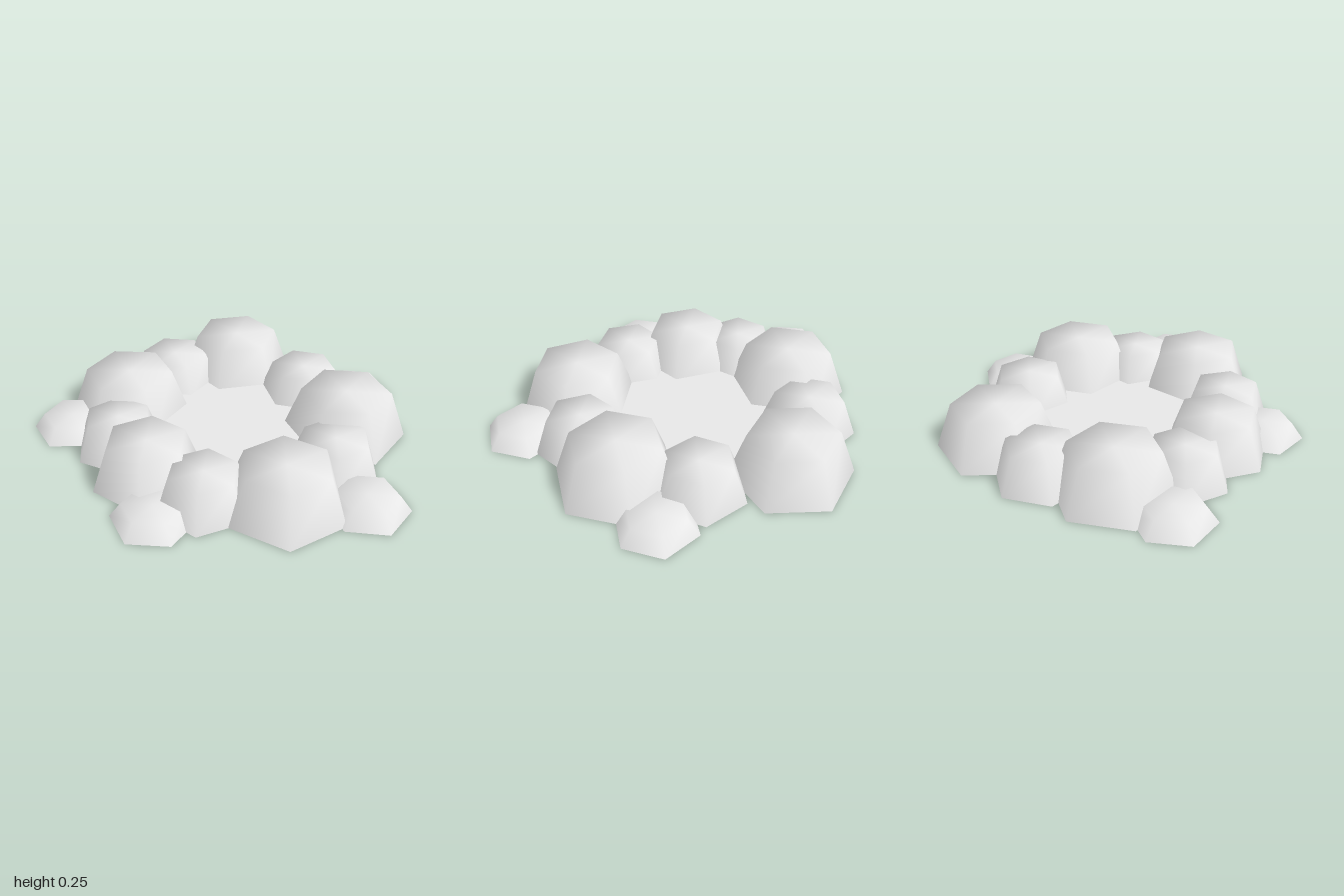
import * as THREE from 'three';

const SIDES = 6;
const TAPER = 0.72;

// Six-sided tapered stone, smooth over walls and top, with a flat underside
function stoneGeometry(radius, height, degrees) {
  const position = [], index = [];
  const ring = (r, y) => {
    for (let i = 0; i < SIDES; i++) {
      const a = THREE.MathUtils.degToRad(degrees) + (i / SIDES) * Math.PI * 2;
      position.push(Math.cos(a) * r, y, Math.sin(a) * r);
    }
  };
  ring(radius, 0);
  ring(radius * TAPER, height);
  ring(radius, 0); // separate corners keep the underside edge sharp
  position.push(0, height, 0, 0, 0, 0);
  const top = 3 * SIDES, under = top + 1;
  for (let i = 0; i < SIDES; i++) {
    const j = (i + 1) % SIDES;
    index.push(i, SIDES + i, j, j, SIDES + i, SIDES + j); // wall
    index.push(top, SIDES + j, SIDES + i);
    index.push(under, 2 * SIDES + i, 2 * SIDES + j);
  }
  const geometry = new THREE.BufferGeometry();
  geometry.setAttribute('position', new THREE.Float32BufferAttribute(position, 3));
  geometry.setIndex(index);
  geometry.computeVertexNormals();
  return geometry;
}

export function createModel() {
  const group = new THREE.Group();
  const stone = new THREE.MeshStandardMaterial({ color: 0xe8e8e8, side: THREE.DoubleSide });
  stone.name = 'paleStone';

  // x, z, radius, height, angle of first corner in degrees
  const stones = {
    largeStone: [
      [-0.065, -0.63, 0.316, 0.245, -83],
      [0.62, -0.135, 0.324, 0.25, -6],
      [0.41, 0.525, 0.314, 0.24, 77],
      [-0.545, -0.1, 0.32, 0.245, -9],
      [-0.285, 0.455, 0.285, 0.22, 22],
    ],
    mediumStone: [
      [0.03, 0.59, 0.243, 0.19, 85],
      [-0.495, 0.25, 0.237, 0.19, 132],
      [0.605, 0.2, 0.24, 0.19, 20],
      [0.36, -0.44, 0.245, 0.19, -58],
      [-0.381, -0.428, 0.25, 0.19, 174],
    ],
    smallStone: [
      [0.655, -0.493, 0.21, 0.08, -63],
      [-0.796, 0.132, 0.21, 0.08, 167],
      [-0.17, 0.746, 0.21, 0.08, 112],
      [0.79, 0.46, 0.21, 0.08, -5],
    ],
  };
  for (const [name, list] of Object.entries(stones)) {
    list.forEach(([x, z, radius, height, degrees], i) => {
      const mesh = new THREE.Mesh(stoneGeometry(radius, height, degrees), stone);
      mesh.name = name + (i + 1);
      mesh.position.set(x, 0, z);
      group.add(mesh);
    });
  }

  // Thin floor inside the ring, raised a little off the ground
  const floor = new THREE.Mesh(new THREE.CircleGeometry(0.54, 24), stone);
  floor.name = 'innerFloor';
  floor.rotation.x = -Math.PI / 2;
  floor.position.set(0.02, 0.04, 0);
  group.add(floor);

  return group;
}
